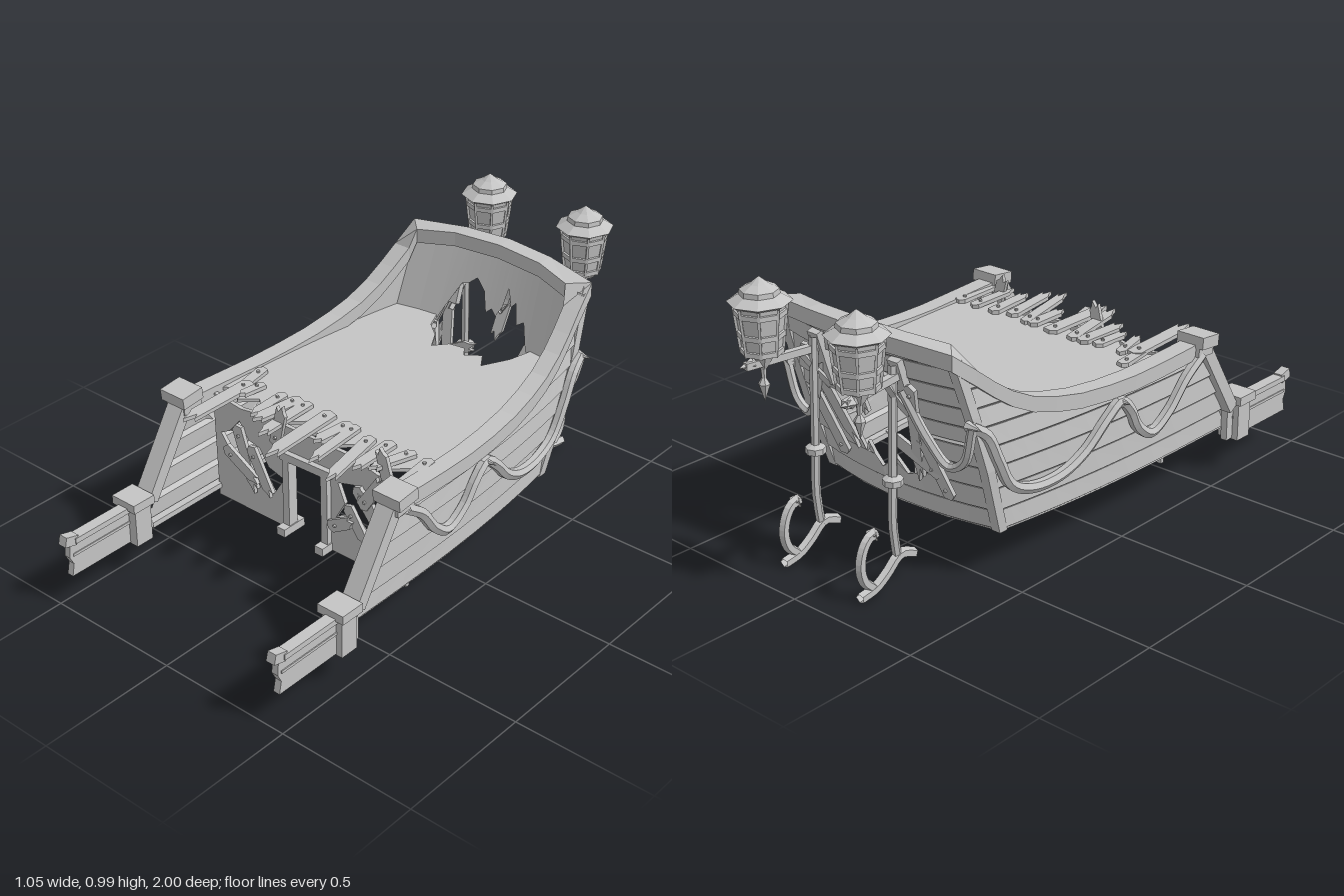
import * as THREE from 'three';

const wood = new THREE.MeshStandardMaterial({ color: 0xc4c4c4, side: THREE.DoubleSide, flatShading: true });
wood.name = 'weathered grey';
const V = (x, y, z) => new THREE.Vector3(x, y, z);
const lerp = THREE.MathUtils.lerp;

export function createModel() {
  const root = new THREE.Group();
  const add = (name, geo, parent = root) => {
    const m = new THREE.Mesh(geo, wood);
    m.name = name;
    parent.add(m);
    return m;
  };
  const box = (name, w, h, d, x, y, z, rx = 0) => {
    const m = add(name, new THREE.BoxGeometry(w, h, d));
    m.position.set(x, y, z);
    m.rotation.x = rx;
    return m;
  };
  // Skin between rows of points
  const skin = (rows) => {
    const pos = [];
    for (let i = 0; i + 1 < rows.length; i++)
      for (let j = 0; j + 1 < rows[i].length; j++) {
        const a = rows[i][j], b = rows[i][j + 1], c = rows[i + 1][j + 1], d = rows[i + 1][j];
        for (const p of [a, b, c, a, c, d]) pos.push(p.x, p.y, p.z);
      }
    const g = new THREE.BufferGeometry();
    g.setAttribute('position', new THREE.Float32BufferAttribute(pos, 3));
    g.computeVertexNormals();
    return g;
  };
  const tube = (name, pts, r, sides = 6, seg = 24) =>
    add(name, new THREE.TubeGeometry(new THREE.CatmullRomCurve3(pts), seg, r, sides));
  // Plank from a to b facing n, with a splintered far end and a nail
  const plank = (name, a, b, w, n, t = 0.014) => {
    const g = new THREE.Group();
    g.name = name;
    const dir = b.clone().sub(a), L = dir.length(), h = w / 2;
    const s = new THREE.Shape([[-h, 0], [h * 0.2, -0.01], [h, 0.006], [h * 0.95, L * 0.8], [h * 0.45, L * 0.88],
      [h * 0.1, L], [-h * 0.4, L * 0.84], [-h * 0.9, L * 0.92]].map(p => new THREE.Vector2(...p)));
    add('board', new THREE.ExtrudeGeometry(s, { depth: t, bevelEnabled: false }), g);
    const nail = add('nail', new THREE.CylinderGeometry(0.006, 0.006, 0.008, 6), g);
    nail.rotation.x = Math.PI / 2;
    nail.position.set(0, 0.03, t + 0.003);
    dir.normalize();
    const X = dir.clone().cross(n).normalize(), Z = X.clone().cross(dir);
    g.setRotationFromMatrix(new THREE.Matrix4().makeBasis(X, dir, Z));
    g.position.copy(a);
    root.add(g);
  };

  // Hull form: width, bow edge, stern edge and sheer
  const W = (z, y) => 0.47 - 0.105 * Math.pow(THREE.MathUtils.clamp((0.45 - z) / 1.15, 0, 1), 2.4)
    - 0.04 * Math.pow(Math.max(0, 0.54 - y) / 0.38, 1.5);
  const F = y => 0.65 - 0.53 * (y - 0.16);
  const S = y => -0.46 - 0.32 * (y - 0.16);
  const sheer = [[0.44, 0.555], [0.2, 0.545], [0, 0.54], [-0.2, 0.55], [-0.4, 0.588], [-0.5, 0.64], [-0.6, 0.725], [-0.675, 0.82]];
  const topAt = (u) => {
    const z = 0.44 - 1.115 * u;
    let i = 0;
    while (i < sheer.length - 2 && z < sheer[i + 1][0]) i++;
    const [a, b] = [sheer[i], sheer[i + 1]];
    return lerp(a[1], b[1], (a[0] - z) / (a[0] - b[0]));
  };
  const sidePt = (u, y, side, out = 0) => {
    const z = lerp(F(y), S(y), u);
    return V(side * (W(z, y) + out), y, z);
  };
  const sternPt = (f, y, out = 0) => V(f * W(S(y), y), y, S(y) - 0.05 * (1 - f * f) - out);
  const sternTop = f => 0.82 + 0.02 * (1 - f * f);
  const us = [0, 0.12, 0.24, 0.36, 0.48, 0.6, 0.7, 0.78, 0.85, 0.9, 0.95, 1];
  // Lapped boards: each has a bevelled lower edge and leans in towards the top
  const laps = [];
  const levels = [0.16, 0.235, 0.32, 0.4, 0.475, 0.55, 0.62, 0.69, 0.76, 0.85];
  for (let i = 0; i + 1 < levels.length; i++) laps.push([levels[i], 0], [levels[i] + 0.012, 0.014], [levels[i + 1], 0.002]);
  for (const s of [1, -1])
    add('hullSide', skin(us.map(u => laps.map(([y, o]) => sidePt(u, Math.min(y, topAt(u)), s, o)))));

  // Transom: fraction across, lower and upper edge of the broken hole
  const gap = [[-1, 0.5, 0.5], [-0.75, 0.5, 0.5], [-0.54, 0.5, 0.5], [-0.48, 0.4, 0.58], [-0.36, 0.43, 0.67], [-0.28, 0.31, 0.68],
    [-0.2, 0.3, 0.705], [-0.09, 0.37, 0.67], [-0.02, 0.33, 0.6], [0.04, 0.31, 0.62], [0.1, 0.29, 0.6], [0.16, 0.34, 0.64], [0.19, 0.38, 0.71],
    [0.26, 0.33, 0.65], [0.31, 0.4, 0.67], [0.37, 0.37, 0.6], [0.45, 0.44, 0.62], [0.54, 0.5, 0.5], [0.75, 0.5, 0.5], [1, 0.5, 0.5]];
  add('transomLower', skin(gap.map(([f, lo]) => laps.map(([y, o]) => sternPt(f, Math.min(y, lo), o)))));
  add('transomUpper', skin(gap.map(([f, , hi]) => laps.map(([y, o]) => sternPt(f, Math.min(Math.max(y, hi), sternTop(f)), o)))));
  // Smooth inner lining above the deck
  add('transomLining', skin(gap.map(([f, , hi]) => [Math.max(hi, 0.53), 0.81].map(y => sternPt(f * 0.94, y, -0.025)))));
  for (const s of [1, -1])
    add('sideLining', skin(us.map(u => [0.53, topAt(u) - 0.01].map(y => sidePt(u, y, s, -0.028)))));

  // Rails swept round the hull
  const sweep = (name, yU, yF, out, inn, up, down) => {
    const ring = (p, n) => [[out, up], [out, down], [-inn, down], [-inn, up], [out, up]]
      .map(([o, h]) => p.clone().addScaledVector(n, o).add(V(0, h, 0)));
    const half = s => us.slice(0, -1).map(u => ring(sidePt(u, yU(u), s), V(s, 0, 0)));
    const stern = [1, 0.5, 0, -0.5, -1].map(f => ring(sternPt(f, yF(f)), V(Math.abs(f) === 1 ? f : 0, 0, -1)));
    add(name, skin([...half(1), ...stern, ...half(-1).reverse()]));
  };
  sweep('topRail', topAt, sternTop, 0.02, 0.045, 0.008, -0.045);
  sweep('bottomRail', () => 0.16, () => 0.16, 0.008, 0.02, 0.02, 0);
  for (const s of [1, -1])
    add('sternCorner', skin([0.16, 0.4, 0.6, 0.8].map(y => [[1, 1], [1, -1], [-1, -1], [-1, 1], [1, 1]]
      .map(([a, b]) => sternPt(s, y).add(V(a * 0.018, 0, b * 0.018))))));

  // Deck with broken bow and stern edges
  const zs = [0.3, 0.1, -0.1, -0.3, -0.45, -0.57];
  const edge = zs.map(z => [W(z, 0.54) - 0.015, z]);
  const deckPts = [...edge, [0.22, -0.59], [0.2, -0.5], [0.15, -0.4], [0.11, -0.46], [0.06, -0.42], [0.03, -0.46], [-0.03, -0.45],
    [-0.07, -0.4], [-0.11, -0.47], [-0.17, -0.52], [-0.2, -0.59], ...edge.map(([x, z]) => [-x, z]).reverse()];
  for (let i = 1; i < 16; i++) deckPts.push([-0.44 + i * 0.055, i % 2 ? 0.26 : 0.31]);
  const deck = new THREE.ExtrudeGeometry(new THREE.Shape(deckPts.map(p => new THREE.Vector2(...p))), { depth: 0.012, bevelEnabled: false });
  add('deck', deck.rotateX(Math.PI / 2)).position.y = 0.54;
  // x, z of start and end for each splintered deck board, and its width
  [[-0.39, 0.12, -0.36, 0.3, 0.04], [-0.36, 0.22, -0.35, 0.54, 0.055], [-0.32, 0.2, -0.31, 0.32, 0.035], [-0.22, 0.2, -0.22, 0.36, 0.04],
    [-0.16, 0.19, -0.18, 0.39, 0.05], [-0.12, 0.19, -0.09, 0.46, 0.045], [-0.02, 0.19, -0.01, 0.51, 0.055], [0.07, 0.2, 0.06, 0.36, 0.045],
    [0.1, 0.2, 0.14, 0.47, 0.04], [0.18, 0.22, 0.23, 0.49, 0.045], [0.25, 0.2, 0.26, 0.4, 0.045], [0.34, 0.2, 0.31, 0.38, 0.04],
    [0.41, 0.2, 0.43, 0.46, 0.04]].forEach(([x, z, x2, z2, w], i) =>
    plank('deckBoard', V(x, 0.541, z), V(x2, 0.535 + (i % 3) * 0.012, z2), w, V(0, 1, 0)));

  // Front bulkhead with doorway and smashed openings
  const shape = new THREE.Shape([[-0.42, 0.13], [-0.08, 0.13], [-0.08, 0.42], [0.08, 0.42], [0.08, 0.13], [0.42, 0.13], [0.43, 0.535],
    [0.3, 0.51], [0.2, 0.535], [-0.2, 0.535], [-0.3, 0.52], [-0.43, 0.535]].map(p => new THREE.Vector2(...p)));
  for (const h of [[[-0.4, 0.39], [-0.36, 0.41], [-0.31, 0.47], [-0.27, 0.41], [-0.22, 0.4], [-0.18, 0.34], [-0.11, 0.32], [-0.16, 0.24], [-0.2, 0.3], [-0.26, 0.24], [-0.3, 0.32], [-0.35, 0.32]],
    [[0.13, 0.41], [0.16, 0.34], [0.12, 0.27], [0.2, 0.31], [0.27, 0.24], [0.29, 0.31], [0.35, 0.36], [0.3, 0.46], [0.24, 0.4], [0.2, 0.43]]])
    shape.holes.push(new THREE.Path(h.map(p => new THREE.Vector2(...p))));
  add('bulkhead', new THREE.ExtrudeGeometry(shape, { depth: 0.015, bevelEnabled: false })).position.z = 0.31;
  for (const s of [1, -1]) {
    box('doorPost', 0.028, 0.3, 0.04, s * 0.085, 0.28, 0.325);
    box('doorFoot', 0.036, 0.03, 0.1, s * 0.085, 0.145, 0.325);
  }
  box('doorLintel', 0.22, 0.03, 0.04, 0, 0.43, 0.325).rotation.z = 0.03;
  [[-0.31, 0.45, -0.23, 0.22], [-0.24, 0.4, -0.15, 0.24], [-0.35, 0.36, -0.2, 0.28], [0.22, 0.43, 0.33, 0.3], [0.19, 0.35, 0.27, 0.24],
    [0.12, 0.25, 0.22, 0.31], [0.32, 0.31, 0.24, 0.44], [0.25, 0.38, 0.34, 0.52], [-0.12, 0.47, -0.08, 0.63], [0.36, 0.48, 0.32, 0.63]]
    .forEach(([x, y, x2, y2], i) => plank('bulkheadBoard', V(x, y, 0.327 + (i % 3) * 0.008), V(x2, y2, 0.33 + (i % 3) * 0.008), 0.045, V(0, 0, 1)));

  // Boards nailed across the stern hole
  [[-0.22, 0.68, -0.14, 0.3], [0.24, 0.7, 0.12, 0.34], [-0.24, 0.36, -0.04, 0.46], [0.2, 0.3, 0.27, 0.56], [0.05, 0.7, 0.03, 0.5], [-0.26, 0.28, -0.2, 0.5]]
    .forEach(([x, y, x2, y2]) => plank('sternBoard', V(x, y, S(y) - 0.06), V(x2, y2, S(y2) - 0.06), 0.045, V(0, 0, -1)));

  // Turned parts of the lanterns and poles
  const lathe = (name, pts, sides, x, z) => {
    const m = add(name, new THREE.LatheGeometry(pts.map(p => new THREE.Vector2(...p)), sides));
    m.position.set(x, 0, z);
    return m;
  };

  for (const s of [1, -1]) {
    // Low bow arms, posts and caps
    const arm = new THREE.Shape([[0.62, 0.125], [0.98, 0.125], [0.97, 0.17], [0.985, 0.2], [0.98, 0.25], [0.62, 0.25]].map(p => new THREE.Vector2(...p)));
    const ag = new THREE.ExtrudeGeometry(arm, { depth: 0.025, bevelEnabled: false }).rotateY(-Math.PI / 2);
    add('bowArm', ag).position.x = s * 0.46 + 0.0125;
    box('bowArmRail', 0.042, 0.02, 0.29, s * 0.46, 0.257, 0.815);
    box('bowArmTip', 0.034, 0.035, 0.05, s * 0.46, 0.262, 0.974, -0.25);
    box('bowArmBatten', 0.032, 0.01, 0.32, s * 0.46, 0.205, 0.81);
    box('lowPost', 0.082, 0.15, 0.07, s * 0.455, 0.195, 0.688);
    box('lowPostCap', 0.105, 0.032, 0.092, s * 0.458, 0.275, 0.688);
    box('slopedPost', 0.068, 0.34, 0.045, s * 0.458, 0.395, 0.54, -0.56);
    box('highPostNeck', 0.085, 0.03, 0.08, s * 0.462, 0.53, 0.43, 0.1);
    box('highPostCap', 0.108, 0.042, 0.09, s * 0.465, 0.567, 0.435, 0.1);

    // Garland rope and its pegs
    const side = (z, y) => V(s * (W(z, y) + 0.024), y, z);
    tube('rope', [[0.42, 0.52], [0.34, 0.46], [0.26, 0.36], [0.18, 0.31], [0.1, 0.36], [0.05, 0.44], [0, 0.483], [-0.06, 0.44], [-0.15, 0.35], [-0.25, 0.3],
      [-0.37, 0.295], [-0.46, 0.335], [-0.52, 0.44], [-0.57, 0.54], [-0.625, 0.58]].map(p => side(...p)), 0.02, 6, 60);
    tube('sternRope', [V(s * 0.41, 0.58, -0.625), V(s * 0.37, 0.45, -0.62), V(s * 0.31, 0.42, -0.625), V(s * 0.25, 0.5, -0.65), V(s * 0.18, 0.66, -0.69)], 0.016);
    for (const [z, y] of [[0, 0.483], [-0.625, 0.58]]) {
      const peg = add('ropePeg', new THREE.ConeGeometry(0.018, 0.06, 6));
      peg.position.copy(side(z, y)).x += s * 0.014;
      peg.rotation.z = -s * Math.PI / 2;
    }

    // Lantern and its bracket
    const lx = s * 0.21, lz = -0.897;
    lathe('lanternRoof', [[0, 0.988], [0.03, 0.965], [0.062, 0.948], [0.064, 0.932], [0.102, 0.91], [0.085, 0.9], [0, 0.9]], 8, lx, lz);
    lathe('lanternBody', [[0.08, 0.905], [0.06, 0.745], [0, 0.73]], 8, lx, lz);
    for (const [y, r] of [[0.875, 0.084], [0.805, 0.076], [0.75, 0.069]])
      lathe('lanternHoop', [[r - 0.012, y + 0.01], [r, y + 0.008], [r, y - 0.008], [r - 0.012, y - 0.01]], 8, lx, lz);
    for (let i = 0; i < 8; i++) {
      const a = i * Math.PI / 4;
      tube('lanternBar', [[0.9, 0.083], [0.74, 0.064]].map(([y, r]) => V(lx + r * Math.sin(a), y, lz + r * Math.cos(a))), 0.006, 4, 1);
    }
    lathe('lanternFoot', [[0, 0.735], [0.035, 0.73], [0.02, 0.7], [0.01, 0.685], [0.008, 0.655], [0.02, 0.635], [0, 0.575]], 6, lx, lz);
    const bar = box('bracketBar', 0.024, 0.024, 0.28, s * 0.195, 0.71, -0.825);
    bar.rotation.y = -s * 0.16;
    const tip = add('bracketTip', new THREE.ConeGeometry(0.022, 0.05, 4));
    tip.position.set(s * 0.22, 0.71, -0.96);
    tip.rotation.x = -Math.PI / 2;
    tube('bracketStrut', [V(s * 0.175, 0.55, -0.64), V(s * 0.175, 0.62, -0.7), V(s * 0.185, 0.7, -0.76)], 0.012, 4, 6);
    box('bracketPlate', 0.045, 0.2, 0.025, s * 0.175, 0.67, -0.682, -0.31);

    // Hanging pole with collar and hooked foot
    const px = s * 0.173;
    tube('hangingPole', [V(px, 0.75, -0.72), V(px, 0.37, -0.73), V(px, 0.22, -0.735), V(px, 0.1, -0.72)], 0.015, 6, 12);
    lathe('poleCollar', [[0.013, 0.385], [0.034, 0.375], [0.034, 0.355], [0.013, 0.345]], 8, px, -0.73);
    const bend = (name, pts, r) => tube(name, pts.map(([z, y]) => V(px, y, z)), r, 5, 14);
    bend('hookFoot', [[-0.645, 0.085], [-0.71, 0.105], [-0.77, 0.06], [-0.82, 0.03], [-0.885, 0.018]], 0.018);
    bend('hookArm', [[-0.83, 0.035], [-0.865, 0.07], [-0.88, 0.12], [-0.87, 0.175], [-0.845, 0.21], [-0.81, 0.22]], 0.017);
    const barb = add('hookBarb', new THREE.ConeGeometry(0.022, 0.05, 4));
    barb.position.set(px, 0.205, -0.815);
    barb.rotation.x = 2.5;
  }
  return root;
}
